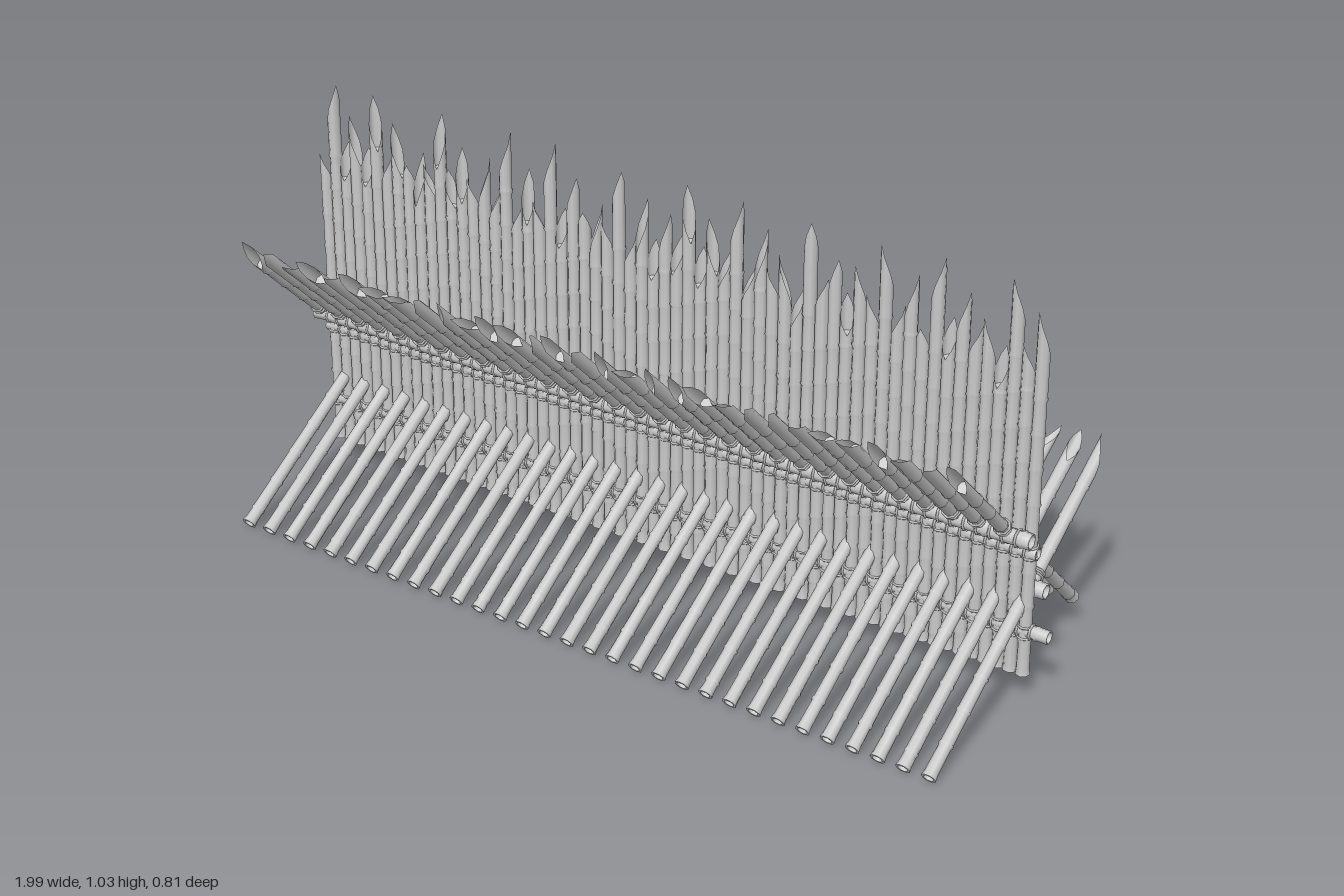
import * as THREE from 'three';
import { mergeGeometries } from 'three/addons/utils/BufferGeometryUtils.js';

const SIDES = 8;
let seed = 7;
const rand = () => (seed = (seed * 16807) % 2147483647) / 2147483647;

// Bamboo cane along +y: hollow foot, swollen joints, optional slanted point of length cut
function cane(length, radius, { cut = 0, gap = 0.085, offset = 0.04, turn = 0 } = {}) {
  const p = [];
  const add = (r, y) => p.push(new THREE.Vector2(r, y));
  const body = length - cut;
  add(0, 0.012);
  add(radius * 0.7, 0.012);
  add(radius * 0.7, 0.012);
  add(radius * 0.8, 0);
  add(radius * 0.8, 0);
  add(radius * 1.14, 0);
  add(radius * 1.14, 0);
  add(radius, 0.014);
  for (let y = offset; y < body - 0.012; y += gap) {
    if (y < 0.03) continue;
    add(radius * 0.95, y - 0.006);
    add(radius * 1.13, y);
    add(radius, y + 0.005);
  }
  add(radius, body);
  if (cut) {
    add(radius, length);
  } else {
    add(radius * 0.8, length);
    add(radius * 0.7, length - 0.012);
    add(0, length - 0.012);
  }
  const geo = new THREE.LatheGeometry(p, SIDES);
  if (!cut) return geo;
  // Slope the top ring so it runs up to a single tip
  const pos = geo.attributes.position;
  for (let i = p.length - 1; i < pos.count; i += p.length) {
    const a = Math.abs(Math.atan2(pos.getX(i), pos.getZ(i))) / Math.PI;
    pos.setY(i, length - cut * a);
  }
  const septum = new THREE.CircleGeometry(radius, SIDES).rotateX(-Math.PI / 2).translate(0, body, 0);
  return mergeGeometries([geo, septum]).rotateY(turn);
}

// Turn a +y geometry along dir and move its foot to start
function place(geo, start, dir) {
  const q = new THREE.Quaternion().setFromUnitVectors(new THREE.Vector3(0, 1, 0), dir.clone().normalize());
  return geo.applyQuaternion(q).translate(start.x, start.y, start.z);
}

// Rope ring lying around the +y axis
const ropeRing = (radius, y) =>
  new THREE.TorusGeometry(radius, 0.0032, 4, SIDES).rotateX(Math.PI / 2).translate(0, y, 0);

export function createModel() {
  const group = new THREE.Group();
  const material = new THREE.MeshStandardMaterial({ color: 0xcccccc, side: THREE.DoubleSide });
  const addMesh = (name, parts) => {
    const mesh = new THREE.Mesh(mergeGeometries(parts), material);
    mesh.name = name;
    group.add(mesh);
  };

  // Upright wall: tall and short canes alternate
  const wall = [], wallRopes = [];
  const tall = [1.03, 0.96, 1.03, 0.97, 0.92, 1.02, 0.96, 0.95];
  for (let i = 0; i < 62; i++) {
    const x = -0.968 + i * 0.0313;
    const top = i % 2 ? tall[((i - 1) / 2) % 8] - rand() * 0.02 : 0.84 + rand() * 0.05;
    const chevron = Math.abs((i % 12) - 6) * 0.012;
    const pole = cane(top - 0.07, 0.0155, {
      cut: i % 2 ? 0.13 : 0.09, offset: 0.03 + chevron, turn: rand() * Math.PI * 2,
    });
    wall.push(pole.translate(x, 0.07, 0));
    for (const y of [0.166, 0.194, 0.368, 0.396]) {
      wallRopes.push(ropeRing(0.0165, y).translate(x, 0, 0));
    }
  }
  addMesh('wallCanes', wall);
  addMesh('wallLashings', wallRopes);

  // Leaning rows: each cane runs from foot to tip and is lashed beside its rail
  const rows = [
    { name: 'forwardSpikes', x: -0.97, foot: [0.085, -0.317], tip: [0.725, 0.325] },
    { name: 'backwardSpikes', x: -0.94, foot: [0.018, 0.392], tip: [0.488, -0.392] },
  ];
  for (const row of rows) {
    const canes = [], ropes = [];
    for (let i = 0; i < 31; i++) {
      const foot = new THREE.Vector3(row.x + i * 0.0623, ...row.foot);
      const dir = new THREE.Vector3(foot.x, ...row.tip).sub(foot);
      const length = dir.length() - 0.02 + rand() * 0.03;
      const pole = cane(length, 0.0155, {
        cut: 0.1, offset: 0.03 + rand() * 0.06, turn: rand() * Math.PI * 2,
      });
      canes.push(place(pole, foot, dir));
      for (const step of [-0.026, 0.026, 0.036]) {
        ropes.push(place(ropeRing(0.018, dir.length() * 0.545 + step), foot, dir));
      }
    }
    addMesh(row.name, canes);
    addMesh(row.name + 'Lashings', ropes);
  }

  // Horizontal rails through each row: start x, end x, y, z, radius
  const rails = [
    ['upperWallRail', -0.985, 0.96, 0.38, 0, 0.016],
    ['lowerWallRail', -0.96, 1.0, 0.182, 0, 0.016],
    ['forwardRail', -0.99, 0.96, 0.428, 0.035, 0.019],
    ['backwardRail', -0.98, 0.97, 0.272, -0.032, 0.019],
  ];
  const along = new THREE.Vector3(1, 0, 0);
  for (const [name, x0, x1, y, z, r] of rails) {
    const start = new THREE.Vector3(x0, y, z);
    const parts = [place(cane(x1 - x0, r, { gap: 0.09 }), start, along)];
    // Rope turns between the canes
    for (let s = 0.04; s < x1 - x0 - 0.02; s += 0.0313) {
      parts.push(place(ropeRing(r + 0.001, s), start, along));
    }
    addMesh(name, parts);
  }
  return group;
}
